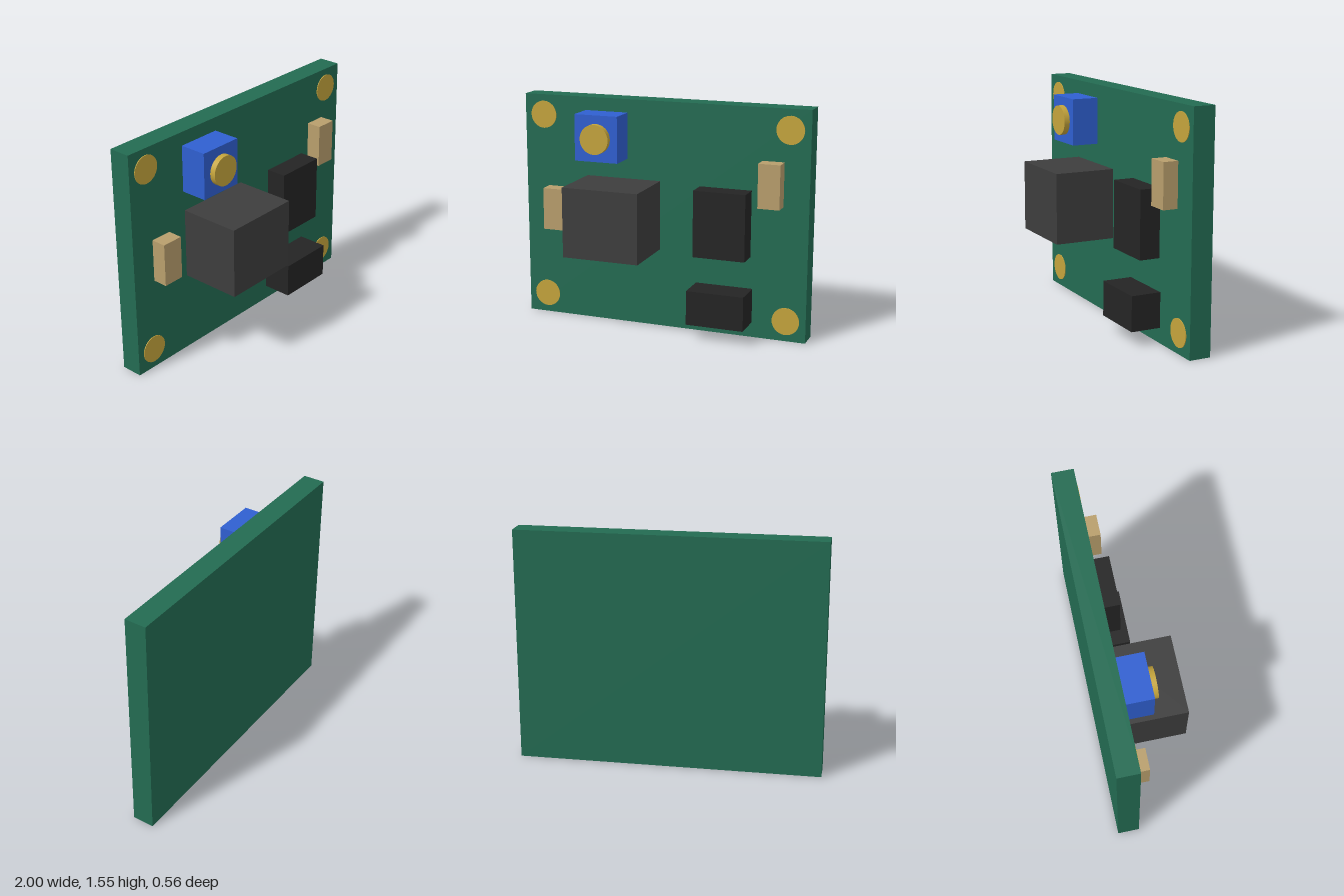
import * as THREE from 'three';

const mat = (name, color) => {
  const m = new THREE.MeshStandardMaterial({ color });
  m.name = name;
  return m;
};

export function createModel() {
  const green = mat('board green', 0x236b52);
  const gold = mat('gold', 0xc4a43c);
  const blue = mat('blue', 0x2f5fd0);
  const tan = mat('tan', 0xb89e6c);
  const black = mat('chip black', 0x242424);
  const grey = mat('dark grey', 0x3d3d3d);

  const group = new THREE.Group();
  group.name = 'circuitBoard';
  const FACE = -0.133; // front face of the board

  // Block given by its x, y and z limits
  const block = (name, m, x0, x1, y0, y1, z1, z0 = FACE) => {
    const mesh = new THREE.Mesh(new THREE.BoxGeometry(x1 - x0, y1 - y0, z1 - z0), m);
    mesh.position.set((x0 + x1) / 2, (y0 + y1) / 2, (z0 + z1) / 2);
    mesh.name = name;
    group.add(mesh);
  };

  // Disc facing +z
  const disc = (name, x, y, r, z0, z1) => {
    const geo = new THREE.CylinderGeometry(r, r, z1 - z0, 32).rotateX(Math.PI / 2);
    const mesh = new THREE.Mesh(geo, gold);
    mesh.position.set(x, y, (z0 + z1) / 2);
    mesh.name = name;
    group.add(mesh);
  };

  block('board', green, -1, 1, 0, 1.546, FACE, -0.278);

  // Corner mounting pads
  for (const x of [-0.864, 0.864])
    for (const y of [0.137, 1.409]) disc('mountingPad', x, y, 0.093, FACE, FACE + 0.005);

  // Trimmer with its adjusting screw
  block('trimmerBody', blue, -0.553, -0.25, 1.145, 1.456, 0.049);
  disc('trimmerScrew', -0.4, 1.3, 0.1, 0.049, 0.087);

  // Large component and the two chips
  block('largeComponent', grey, -0.545, -0.018, 0.54, 1.01, 0.278);
  block('tallChip', black, 0.262, 0.616, 0.551, 0.998, 0.005);
  block('wideChip', black, 0.241, 0.633, 0.102, 0.335, 0.069);

  // Small capacitors
  block('leftCapacitor', tan, 0.684, 0.83, 0.907, 1.2, -0.033);
  block('rightCapacitor', tan, -0.834, -0.688, 0.63, 0.917, -0.033);

  return group;
}
